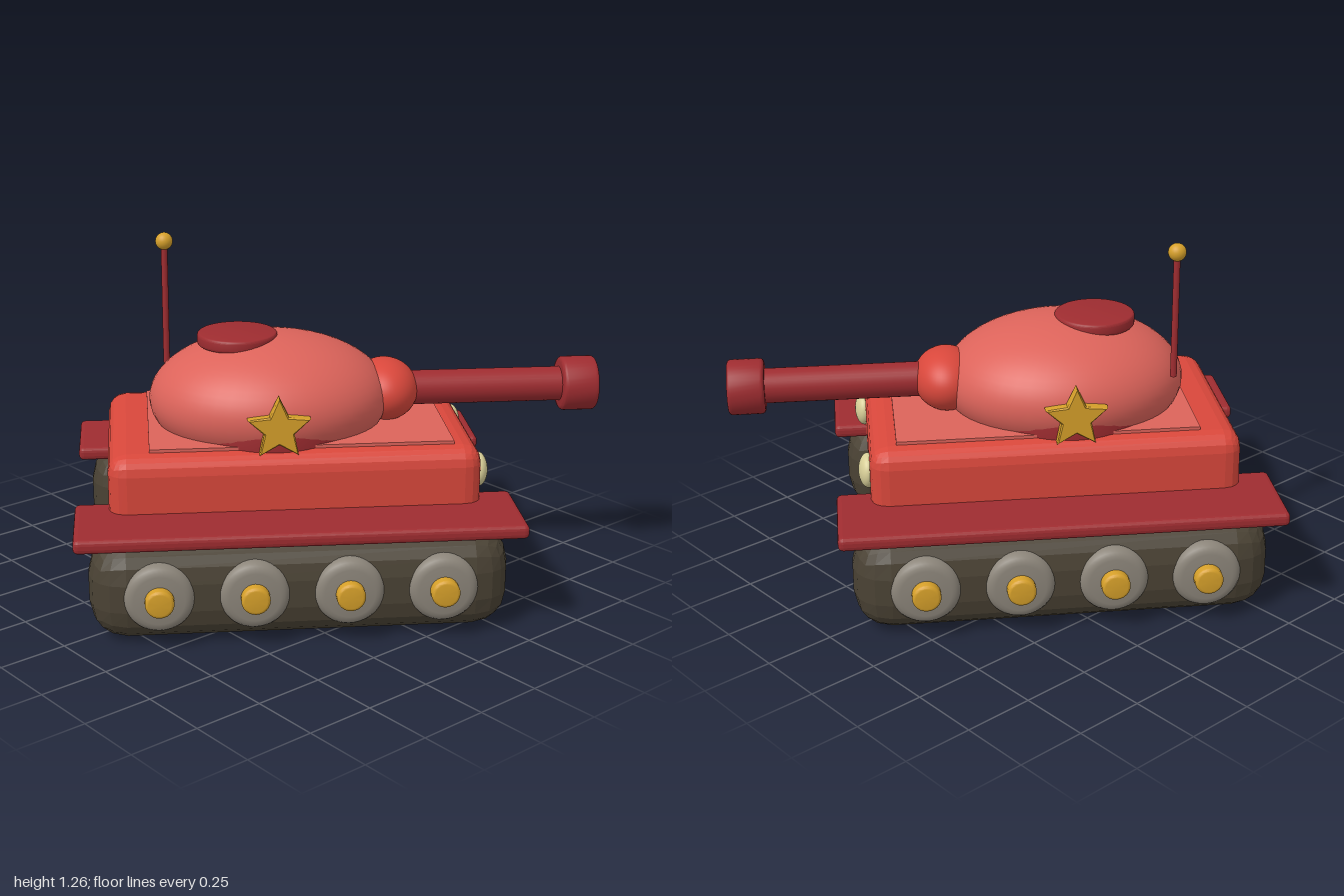
import * as THREE from 'three';
import { toCreasedNormals } from 'three/addons/utils/BufferGeometryUtils.js';
import { RoundedBoxGeometry } from 'three/addons/geometries/RoundedBoxGeometry.js';

const material = (name, color) => {
  const m = new THREE.MeshStandardMaterial({ color });
  m.name = name;
  return m;
};

// Box with faceted bevels
function bevelBox(w, h, d, radius, segments) {
  const geo = new RoundedBoxGeometry(w, h, d, segments, radius);
  geo.computeVertexNormals();
  return geo;
}

// Disc or drum along y, centred, with rounded rims
function drum(radius, height, bevel, sides = 40) {
  const pts = [new THREE.Vector2(0, -height / 2)];
  for (const end of [-1, 1]) {
    for (let i = 0; i <= 4; i++) {
      const a = (end < 0 ? i - 4 : i) * Math.PI / 8;
      pts.push(new THREE.Vector2(
        radius - bevel + bevel * Math.cos(a),
        end * (height / 2 - bevel) + bevel * Math.sin(a)));
    }
  }
  pts.push(new THREE.Vector2(0, height / 2));
  return toCreasedNormals(new THREE.LatheGeometry(pts, sides), 0.5);
}

const ellipsoid = (a, b, c) => new THREE.SphereGeometry(1, 48, 32).scale(a, b, c);

// Five-pointed star facing z, centred in depth
function star(radius) {
  const shape = new THREE.Shape();
  for (let i = 0; i < 10; i++) {
    const r = i % 2 ? radius * 0.46 : radius;
    const a = Math.PI / 2 + i * Math.PI / 5;
    shape[i ? 'lineTo' : 'moveTo'](r * Math.cos(a), r * Math.sin(a));
  }
  shape.closePath();
  return new THREE.ExtrudeGeometry(shape, {
    depth: 0.032, bevelEnabled: true, bevelThickness: 0.006, bevelSize: 0.005, bevelSegments: 1,
  }).translate(0, 0, -0.016);
}

export function createModel() {
  const red = material('hull red', 0xd8473b);
  const coral = material('turret coral', 0xdc635a);
  const darkRed = material('dark red', 0x9e2c30);
  const trackBrown = material('track brown', 0x4a4234);
  const wheelGrey = material('wheel grey', 0x8c857a);
  const gold = material('gold', 0xd6a02a);
  const cream = material('lamp cream', 0xd8cf98);

  const tank = new THREE.Group();
  tank.name = 'tank';
  const add = (name, geo, mat, x, y, z) => {
    const mesh = new THREE.Mesh(geo, mat);
    mesh.name = name;
    mesh.position.set(x, y, z);
    tank.add(mesh);
    return mesh;
  };

  // Hull and deck
  add('hull', bevelBox(1.31, 0.285, 0.82, 0.065, 2), red, 0, 0.468, 0);
  add('deckPanel', new THREE.BoxGeometry(1.07, 0.02, 0.68), coral, 0.025, 0.612, 0);

  // Running gear, fenders, stars and lamps on both sides
  const trackGeo = bevelBox(1.46, 0.358, 0.305, 0.13, 2);
  const fenderGeo = bevelBox(1.55, 0.05, 0.35, 0.018, 2);
  const wheelGeo = drum(0.122, 0.1, 0.035).rotateX(Math.PI / 2);
  const hubGeo = drum(0.05, 0.08, 0.012, 24).rotateX(Math.PI / 2);
  const starGeo = star(0.108);
  const lampGeo = ellipsoid(0.034, 0.062, 0.062);
  for (const side of [-1, 1]) {
    add('track', trackGeo, trackBrown, 0, 0.181, side * 0.462);
    add('fender', fenderGeo, darkRed, 0, 0.386, side * 0.462);
    for (let i = 0; i < 4; i++) {
      const x = -0.49 + i * 0.325;
      add('wheel', wheelGeo, wheelGrey, x, 0.184, side * 0.585);
      add('wheelHub', hubGeo, gold, x, 0.184, side * 0.634);
    }
    add('star', starGeo, gold, -0.062, 0.7, side * 0.378);
    add('headlight', lampGeo, cream, 0.66, 0.49, side * 0.273);
  }

  // Turret
  add('turretRing', drum(0.366, 0.1, 0.01, 64), darkRed, -0.065, 0.63, 0);
  add('turret', ellipsoid(0.437, 0.235, 0.372), coral, -0.065, 0.702, 0);
  add('hatch', drum(0.145, 0.045, 0.01), darkRed, -0.18, 0.922, 0);

  // Gun
  add('gunMantlet', ellipsoid(0.12, 0.113, 0.155), red, 0.36, 0.715, 0);
  add('barrel', new THREE.CylinderGeometry(0.063, 0.063, 0.65, 32).rotateZ(Math.PI / 2),
    darkRed, 0.725, 0.715, 0);
  add('muzzle', drum(0.1, 0.132, 0.015).rotateZ(Math.PI / 2), darkRed, 1.077, 0.715, 0);

  // Antenna
  add('antennaRod', new THREE.CylinderGeometry(0.012, 0.012, 0.45, 16), darkRed, -0.432, 0.995, -0.22);
  add('antennaTip', new THREE.SphereGeometry(0.032, 24, 16), gold, -0.432, 1.232, -0.22);

  // Whole vehicle stands turned on its base
  tank.rotation.y = THREE.MathUtils.degToRad(-35);
  const model = new THREE.Group();
  model.name = 'toyTank';
  model.add(tank);
  return model;
}
